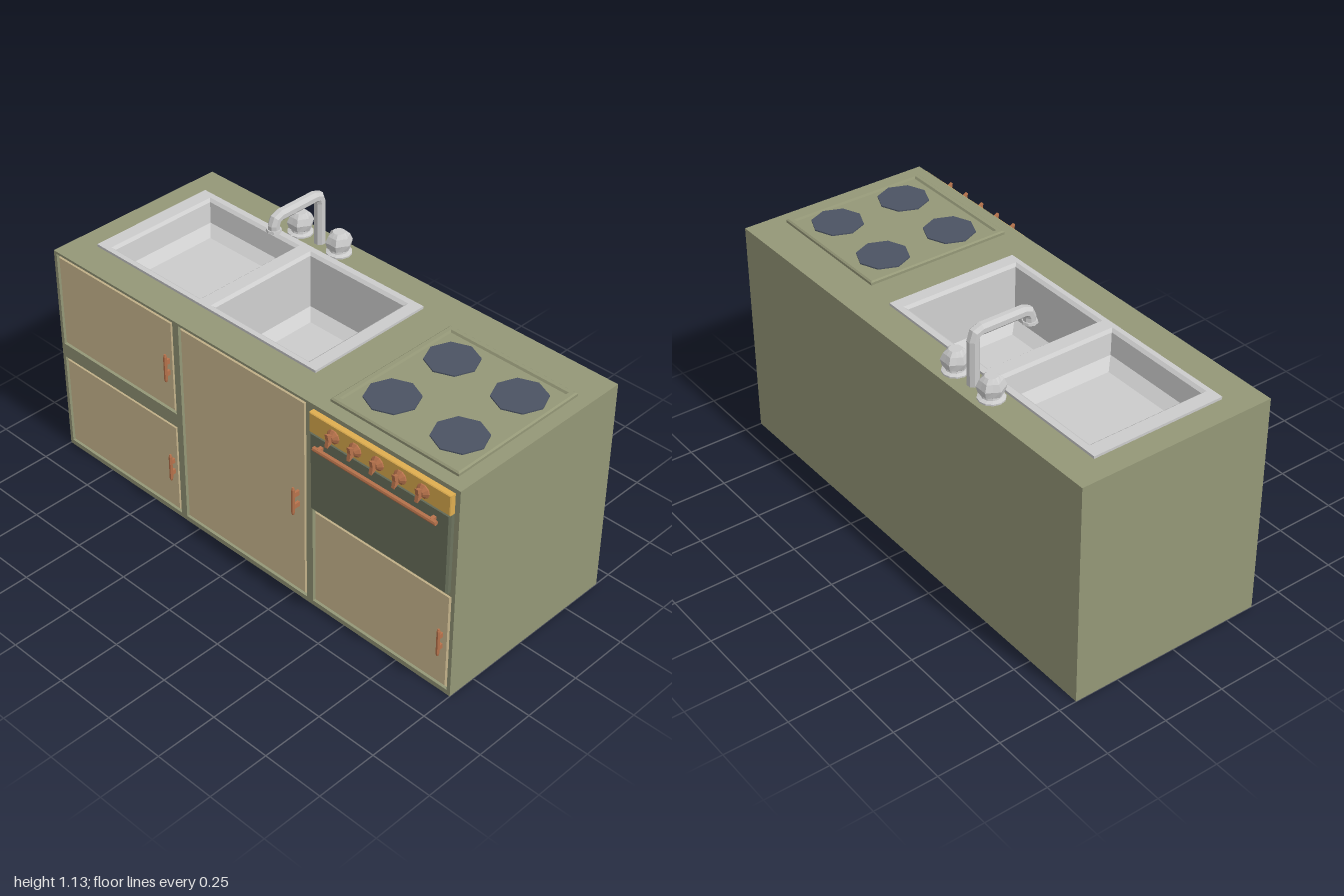
import * as THREE from 'three';

const mat = (color) => new THREE.MeshStandardMaterial({ color, flatShading: true });
const V = (x, y, z) => new THREE.Vector3(x, y, z);

// Flat-shaded skin over a stack of rings, closed by a fan on the last ring
function loft(rings) {
  const pos = [];
  const tri = (...pts) => pts.forEach((p) => pos.push(p.x, p.y, p.z));
  const n = rings[0].length;
  for (let i = 0; i < rings.length - 1; i++) {
    for (let j = 0; j < n; j++) {
      const k = (j + 1) % n;
      const a = rings[i][j], b = rings[i][k], c = rings[i + 1][k], d = rings[i + 1][j];
      tri(a, b, c);
      tri(a, c, d);
    }
  }
  const top = rings[rings.length - 1];
  for (let j = 1; j < n - 1; j++) tri(top[0], top[j], top[j + 1]);
  const geo = new THREE.BufferGeometry();
  geo.setAttribute('position', new THREE.Float32BufferAttribute(pos, 3));
  geo.computeVertexNormals();
  return geo;
}

// Rectangular loft; each step is [inset, height]
const rectLoft = ([x0, x1, z0, z1], steps) => loft(steps.map(([s, y]) => [
  V(x1 - s, y, z1 - s), V(x1 - s, y, z0 + s), V(x0 + s, y, z0 + s), V(x0 + s, y, z1 - s)]));

// Round loft about y; each step is [radius, height, lobe depth]
const roundLoft = (steps, n) => loft(steps.map(([r, y, lobe = 0]) =>
  Array.from({ length: n }, (_, j) => {
    const a = (j / n) * Math.PI * 2, q = r * (j % 2 ? 1 - lobe : 1);
    return V(q * Math.cos(a), y, -q * Math.sin(a));
  })));

// Panel facing +z, from x0..x1, y0..y1 with [inset, z] steps
const panel = ([x0, x1, y0, y1], steps) =>
  rectLoft([x0, x1, -y1, -y0], steps).rotateX(Math.PI / 2);

// Rectangular plate with rectangular holes, extruded along z
function plate(rect, holes, depth) {
  const trace = (path, [x0, x1, y0, y1]) => {
    path.moveTo(x0, y0);
    path.lineTo(x1, y0);
    path.lineTo(x1, y1);
    path.lineTo(x0, y1);
    path.closePath();
    return path;
  };
  const shape = trace(new THREE.Shape(), rect);
  shape.holes = holes.map((h) => trace(new THREE.Path(), h));
  return new THREE.ExtrudeGeometry(shape, { depth, bevelEnabled: false });
}

export function createModel() {
  const model = new THREE.Group();
  const green = mat(0x949777), tan = mat(0xd2bf94), steel = mat(0xcccccc);
  const gold = mat(0xdfae50), copper = mat(0xb8734c), dark = mat(0x6c735e), slate = mat(0x4b5363);

  const add = (name, geo, material, x = 0, y = 0, z = 0, parent = model) => {
    const mesh = new THREE.Mesh(geo, material);
    mesh.name = name;
    mesh.position.set(x, y, z);
    parent.add(mesh);
    return mesh;
  };
  const box = (name, w, h, d, material, x, y, z, parent) =>
    add(name, new THREE.BoxGeometry(w, h, d), material, x, y, z, parent);

  // Cabinet carcass
  for (const s of [-1, 1]) box('sidePanel', 0.02, 0.9, 0.78, green, s * 0.99, 0.45, -0.04);
  box('backPanel', 1.96, 0.9, 0.02, green, 0, 0.45, -0.42);
  box('bottomPanel', 1.96, 0.02, 0.76, green, 0, 0.01, -0.03);
  box('frontBacking', 1.96, 0.84, 0.01, green, 0, 0.44, 0.345);
  const counter = plate([-0.98, 0.98, -0.35, 0.41], [[-0.87, 0.2, -0.23, 0.29]], 0.03);
  add('countertop', counter.rotateX(-Math.PI / 2), green, 0, 0.87, 0);

  // Front frame and inset doors
  const openings = [
    [-0.985, -0.35, 0.485, 0.89], [-0.985, -0.35, 0.02, 0.425],
    [-0.32, 0.315, 0.02, 0.89], [0.345, 0.985, 0.02, 0.445]];
  add('frontFrame', plate([-1, 1, 0, 0.9], openings, 0.02), green, 0, 0, 0.35);
  for (const o of openings) {
    add('cabinetDoor', panel(o, [[0.006, 0.345], [0.006, 0.362], [0.012, 0.368]]), tan);
  }

  // Door handles: a tapered grip on two feet
  for (const [x, y, out] of [[-0.38, 0.685, 0], [-0.38, 0.23, 0], [0.275, 0.455, 0.01], [0.95, 0.23, 0]]) {
    const handle = new THREE.Group();
    handle.name = 'doorHandle';
    handle.position.set(x, y, 0);
    model.add(handle);
    const grip = roundLoft([[0.004, -0.06], [0.007, -0.05], [0.007, 0.05], [0.004, 0.06]], 6);
    add('handleGrip', grip, copper, 0, 0, 0.386 + out, handle);
    for (const s of [-1, 1]) {
      box('handleFoot', 0.01, 0.02, 0.022 + out, copper, 0, s * 0.025, 0.374 + out / 2, handle);
    }
  }

  // Oven door with its bar
  add('ovenDoor', panel([0.35, 0.98, 0.465, 0.8], [[0, 0.365], [0, 0.384], [0.007, 0.391]]), dark);
  const bar = new THREE.CylinderGeometry(0.009, 0.009, 0.55, 8).rotateZ(Math.PI / 2);
  add('ovenBar', bar, copper, 0.663, 0.757, 0.409);
  for (const x of [0.41, 0.916]) box('ovenBarFoot', 0.014, 0.012, 0.024, copper, x, 0.76, 0.398);

  // Control strip with five knobs
  add('controlStrip', panel([0.35, 0.98, 0.8, 0.882], [[0, 0.365], [0, 0.39], [0.003, 0.393]]), gold);
  for (let i = 0; i < 5; i++) {
    const knob = new THREE.Group();
    knob.name = 'knob';
    knob.position.set(0.465 + i * 0.1, 0.84, 0.392);
    model.add(knob);
    const base = roundLoft([[0.028, 0], [0.027, 0.005], [0.012, 0.018]], 10).rotateX(Math.PI / 2);
    add('knobBase', base, copper, 0, 0, 0, knob);
    const grip = new THREE.Shape([[0.008, -0.012], [0.037, -0.027], [0.032, 0],
      [0.037, 0.027], [0.008, 0.012]].map(([z, y]) => new THREE.Vector2(z, y)));
    const gripGeo = new THREE.ExtrudeGeometry(grip, { depth: 0.014, bevelEnabled: false });
    add('knobGrip', gripGeo.translate(0, 0, -0.007).rotateY(-Math.PI / 2), copper, 0, 0, 0, knob);
  }

  // Hob with a raised lip and four burners
  add('hob', rectLoft([0.378, 0.945, -0.282, 0.318],
    [[0, 0.895], [0, 0.91], [0.006, 0.915], [0.022, 0.915], [0.027, 0.907]]), green);
  for (const x of [0.515, 0.815]) {
    for (const z of [-0.137, 0.163]) {
      add('burner', new THREE.CylinderGeometry(0.1, 0.1, 0.008, 8), slate, x, 0.908, z);
    }
  }

  // Double sink: rim plate, shallow and deep basins
  const basins = [[-0.85, -0.365, -0.28, 0.22, 0.12], [-0.31, 0.18, -0.28, 0.22, 0.25]];
  const rim = plate([-0.905, 0.23, -0.24, 0.305],
    basins.map(([x0, x1, z0, z1]) => [x0, x1, -z1, -z0]), 0.02);
  add('sinkRim', rim.rotateX(-Math.PI / 2), steel, 0, 0.89, 0);
  for (const [x0, x1, z0, z1, depth] of basins) {
    const y = 0.91 - depth;
    add('sinkBasin', rectLoft([x0, x1, z0, z1],
      [[0, 0.91], [0.012, 0.9], [0.026, y + 0.03], [0.07, y]]), steel);
  }

  // Faucet: pipe swept along [y, z, heading] stations, heading 0 is up and 180 down
  const stations = [[0.895, -0.36, 0], [1.075, -0.36, 0], [1.1, -0.352, 45], [1.108, -0.33, 90],
    [1.108, -0.155, 90], [1.1, -0.134, 45 + 90], [1.08, -0.125, 180], [1.058, -0.125, 180]];
  add('faucetPipe', loft(stations.map(([y, z, deg]) => {
    const a = THREE.MathUtils.degToRad(deg), r = 0.023;
    return Array.from({ length: 8 }, (_, j) => {
      const t = ((j + 0.5) / 8) * Math.PI * 2, u = r * Math.sin(t);
      return V(r * Math.cos(t), y + u * Math.sin(a), z - u * Math.cos(a));
    });
  })), steel, -0.34);
  add('faucetNozzle', new THREE.CylinderGeometry(0.028, 0.03, 0.01, 8), steel, -0.34, 1.059, -0.125);

  // Lobed taps
  for (const x of [-0.44, -0.24]) {
    add('tapBase', roundLoft([[0.05, 0.895], [0.05, 0.906], [0.036, 0.911], [0.032, 0.93]], 12),
      steel, x, 0, -0.36);
    add('tapKnob', roundLoft([[0.028, 0.915], [0.046, 0.925, 0.1], [0.053, 0.95, 0.15],
      [0.042, 0.975, 0.15], [0.024, 0.99]], 12), steel, x, 0, -0.36);
  }
  return model;
}
